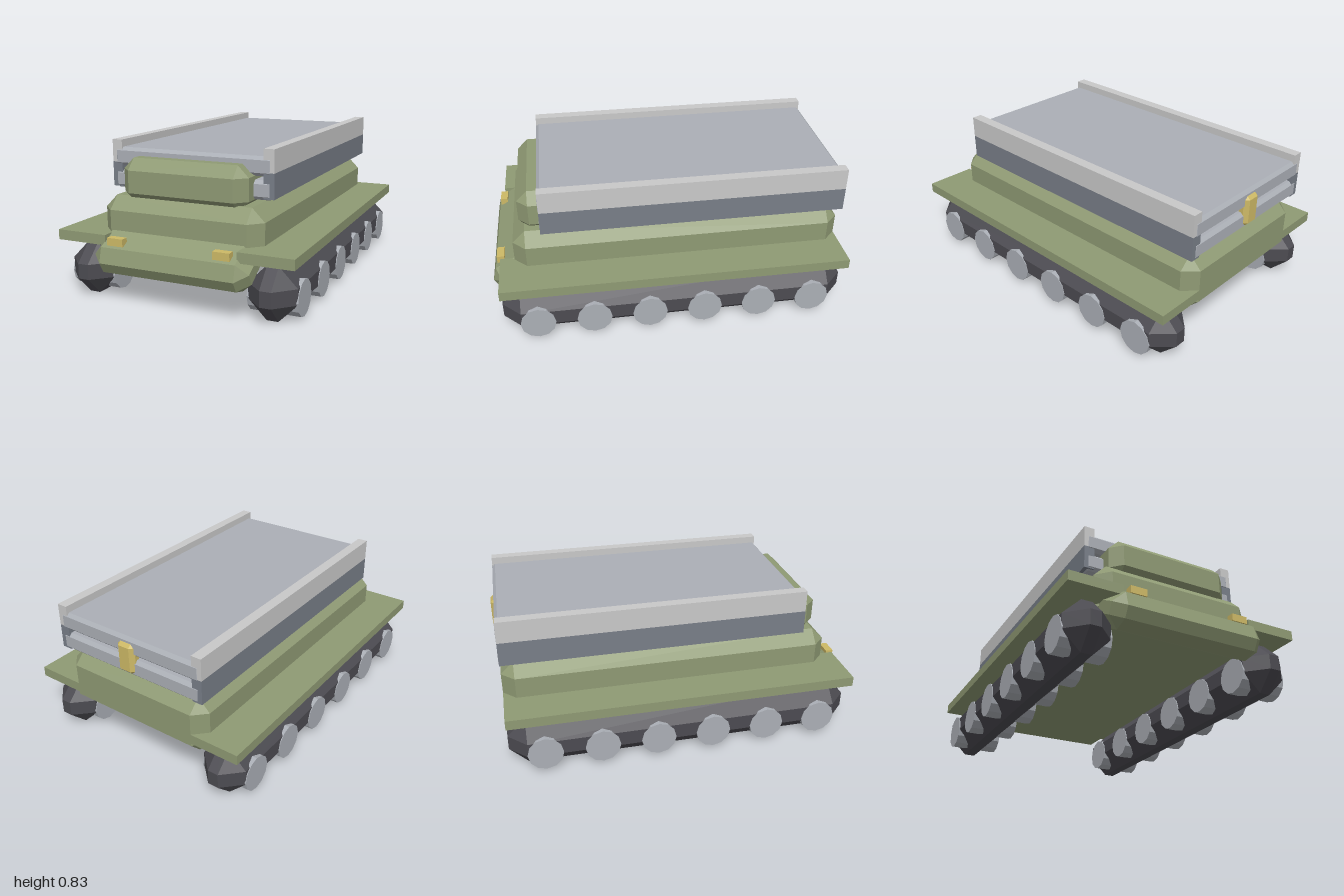
import * as THREE from 'three';
import { ConvexGeometry } from 'three/addons/geometries/ConvexGeometry.js';

function material(name, color) {
  const m = new THREE.MeshStandardMaterial({ color });
  m.name = name;
  return m;
}

// Box with every edge cut at 45 degrees by c
function chamferBox(w, h, d, c) {
  const points = [];
  for (const x of [-w / 2, w / 2])
    for (const y of [-h / 2, h / 2])
      for (const z of [-d / 2, d / 2]) {
        const ix = x - Math.sign(x) * c, iy = y - Math.sign(y) * c, iz = z - Math.sign(z) * c;
        points.push(
          new THREE.Vector3(x, iy, iz),
          new THREE.Vector3(ix, y, iz),
          new THREE.Vector3(ix, iy, z));
      }
  return new ConvexGeometry(points);
}

export function createModel() {
  const model = new THREE.Group();
  model.name = 'trackedCarrier';

  const green = material('hull green', 0x8f9a74);
  const dark = material('track charcoal', 0x4c4b51);
  const steel = material('steel grey', 0xabafb6);
  const pale = material('pale rail grey', 0xc9c9c9);
  const slate = material('slate rail grey', 0x787e88);
  const gold = material('lamp gold', 0xcdb966);

  // Adds a box given its extents; c > 0 chamfers the edges
  function block(name, mat, [x0, x1], [y0, y1], [z0, z1], c = 0) {
    const size = [x1 - x0, y1 - y0, z1 - z0];
    const geo = c ? chamferBox(...size, c) : new THREE.BoxGeometry(...size);
    const mesh = new THREE.Mesh(geo, mat);
    mesh.name = name;
    mesh.position.set((x0 + x1) / 2, (y0 + y1) / 2, (z0 + z1) / 2);
    model.add(mesh);
    return mesh;
  }

  // Hull with a sloping nose, and the cab on top
  block('hull', green, [-0.46, 0.46], [0.22, 0.546], [-0.98, 0.87], 0.07);
  const nose = new THREE.Mesh(chamferBox(0.88, 0.185, 0.5, 0.06), green);
  nose.name = 'nose';
  nose.position.set(0, 0.32, 0.77);
  nose.rotation.x = 0.53;
  model.add(nose);
  block('cab', green, [-0.36, 0.36], [0.505, 0.745], [0.43, 0.83], 0.06);

  // Cargo bed: deck above floor, with a narrow gap between
  block('deck', steel, [-0.46, 0.46], [0.685, 0.786], [-0.982, 0.713], 0.018);
  block('bedFloor', steel, [-0.46, 0.46], [0.565, 0.665], [-0.982, 0.713], 0.018);
  block('tailLatch', gold, [-0.055, 0.055], [0.58, 0.76], [-1, -0.93], 0.022);

  // Wheel shared by both tracks
  const wheelGeo = new THREE.CylinderGeometry(0.097, 0.097, 0.27, 12).toNonIndexed();
  wheelGeo.computeVertexNormals();
  wheelGeo.rotateZ(Math.PI / 2);

  for (const s of [1, -1]) {
    const side = s > 0 ? 'left' : 'right';
    const span = (a, b) => (s > 0 ? [a, b] : [-b, -a]);

    block(side + 'Fender', green, span(0.375, 0.67), [0.305, 0.36], [-0.98, 0.95]);
    block(side + 'Headlight', gold, span(0.255, 0.347), [0.314, 0.355], [0.93, 0.972]);
    block(side + 'RailTop', pale, span(0.412, 0.47), [0.705, 0.826], [-0.98, 0.71]);
    block(side + 'RailBase', slate, span(0.412, 0.47), [0.572, 0.705], [-0.98, 0.71]);
    block(side + 'Track', dark, span(0.392, 0.653), [0, 0.283], [-0.98, 0.952], 0.1);

    for (let i = 0; i < 6; i++) {
      const wheel = new THREE.Mesh(wheelGeo, steel);
      wheel.name = side + 'Wheel' + (i + 1);
      wheel.position.set(s * 0.522, 0.111, 0.762 - i * 0.31);
      model.add(wheel);
    }
  }
  return model;
}
